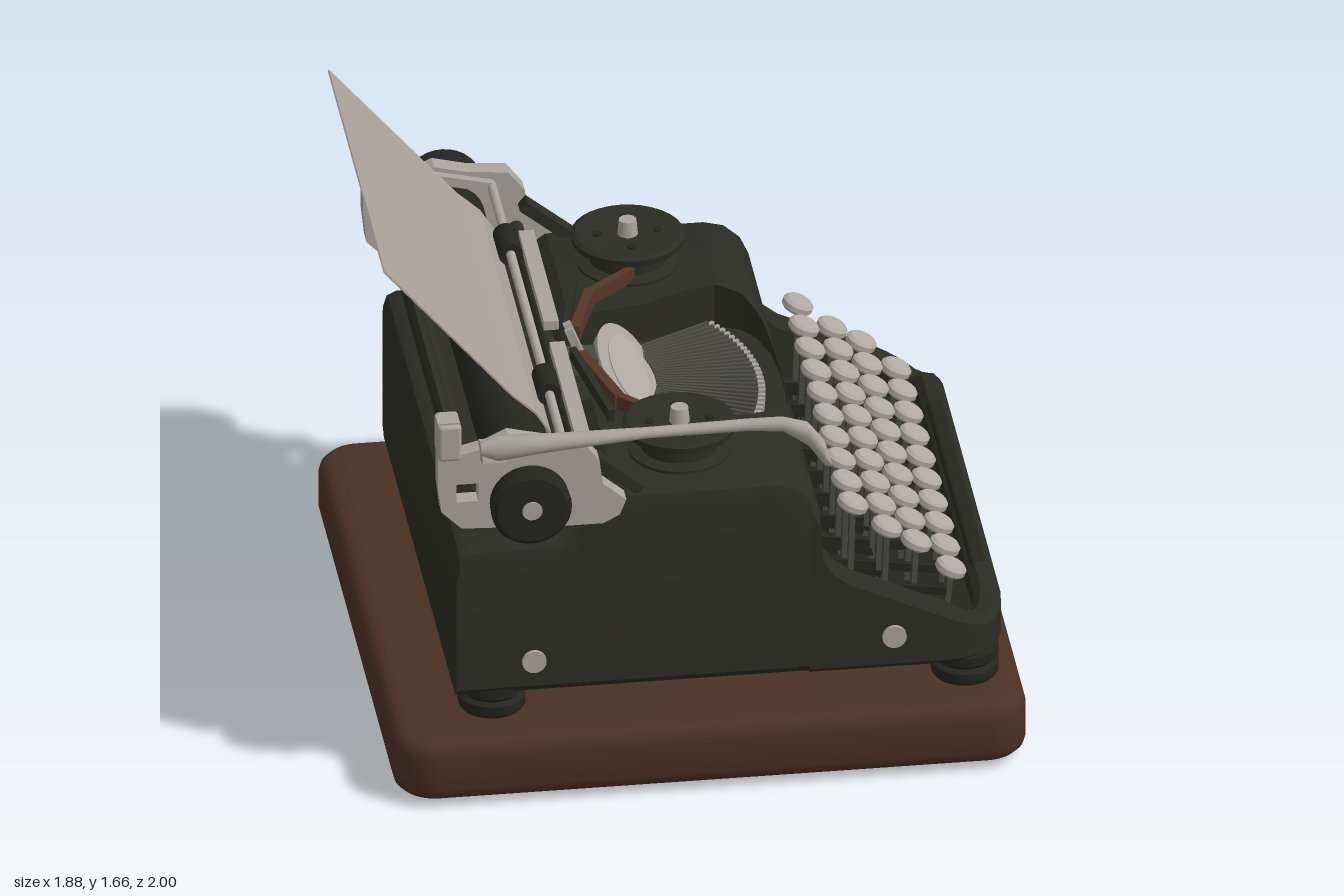
import * as THREE from 'three';
import { toCreasedNormals } from 'three/addons/utils/BufferGeometryUtils.js';
import { RoundedBoxGeometry } from 'three/addons/geometries/RoundedBoxGeometry.js';

const mat = (name, color) => Object.assign(new THREE.MeshStandardMaterial({ color }), { name });

// Linear lookup in a table of [x, value] pairs
function lookup(table, x) {
  for (let i = 1; i < table.length; i++) {
    const [x0, v0] = table[i - 1], [x1, v1] = table[i];
    if (x <= x1) return v0 + (v1 - v0) * Math.max(0, (x - x0) / (x1 - x0));
  }
  return table[table.length - 1][1];
}

// Skin through closed cross-sections; rings run anticlockwise seen from the advancing end
function loft(sections, crease = 0.6) {
  const n = sections[0].length, index = [];
  sections.slice(1).forEach((_, i) => {
    for (let j = 0; j < n; j++) {
      const a = i * n + j, b = i * n + (j + 1) % n;
      index.push(a, b, a + n, b, b + n, a + n);
    }
  });
  const last = (sections.length - 1) * n;
  for (let j = 1; j < n - 1; j++) index.push(0, j + 1, j, last, last + j, last + j + 1);
  const g = new THREE.BufferGeometry();
  g.setAttribute('position', new THREE.Float32BufferAttribute(sections.flat(2), 3));
  g.setIndex(index);
  return toCreasedNormals(g.toNonIndexed(), crease);
}

// Outline in x and y, extruded along z about its middle
function slab(pts, depth, z = 0, hole) {
  const shape = new THREE.Shape(pts.map(p => new THREE.Vector2(...p)));
  if (hole) shape.holes.push(new THREE.Path(hole.map(p => new THREE.Vector2(...p))));
  return new THREE.ExtrudeGeometry(shape, { depth, bevelEnabled: false }).translate(0, 0, z - depth / 2);
}

export function createModel() {
  const dark = mat('darkEnamel', 0x2b2c23), black = mat('blackRubber', 0x24251e);
  const wood = mat('brownWood', 0x4b3025), ribbonRed = mat('ribbonBrown', 0x563529);
  const metal = mat('lightMetal', 0xaaa39d), paperMat = mat('paper', 0xa89f97);
  const steel = mat('darkSteel', 0x4b4a44), keyMat = mat('keyCap', 0xb0a9a3);

  const machine = new THREE.Group();
  machine.name = 'typewriter';
  machine.position.z = -0.025;
  const add = (name, geo, m, x = 0, y = 0, z = 0) => {
    const mesh = new THREE.Mesh(geo, m);
    mesh.name = name;
    mesh.position.set(x, y, z);
    machine.add(mesh);
    return mesh;
  };
  // Straight bar from a to b
  const bar = (name, m, a, b, w, h) => {
    const A = new THREE.Vector3(...a), B = new THREE.Vector3(...b);
    const mesh = new THREE.Mesh(new THREE.BoxGeometry(w, h, A.distanceTo(B)), m);
    mesh.name = name;
    mesh.position.copy(A).lerp(B, 0.5);
    mesh.lookAt(B);
    machine.add(mesh);
  };
  const disc = (r0, r1, h, seg = 32) => new THREE.CylinderGeometry(r0, r1, h, seg);
  const rod = (r, len) => disc(r, r, len, 24).rotateX(Math.PI / 2);
  const lathe = pts => toCreasedNormals(
    new THREE.LatheGeometry(pts.map(p => new THREE.Vector2(...p)), 32).toNonIndexed(), 0.6);

  // Wooden board with rounded corners and eased edges
  const plan = new THREE.Shape(), bx = 0.895, bz = 0.87, r = 0.08;
  plan.absarc(bx - r, bz - r, r, 0, Math.PI / 2);
  plan.absarc(r - bx, bz - r, r, Math.PI / 2, Math.PI);
  plan.absarc(r - bx, r - bz, r, Math.PI, Math.PI * 1.5);
  plan.absarc(bx - r, r - bz, r, Math.PI * 1.5, Math.PI * 2);
  const board = new THREE.ExtrudeGeometry(plan, {
    depth: 0.105, bevelThickness: 0.045, bevelSize: 0.045, bevelSegments: 3, curveSegments: 8 });
  add('board', toCreasedNormals(board.rotateX(-Math.PI / 2), 0.6), wood, 0, 0.065, 0);

  for (const s of [-1, 1]) for (const x of [-0.63, 0.775]) {
    add('boardFoot', disc(0.05, 0.05, 0.03), black, x < 0 ? -0.77 : 0.77, 0.015, s * 0.76);
    add('bodyFoot', lathe([[0, 0], [0.09, 0], [0.1, 0.015], [0.1, 0.045], [0.085, 0.055],
      [0.1, 0.07], [0.1, 0.1], [0, 0.1]]), black, x, 0.21, s * 0.68);
  }

  // Main body, with an open type basket in the hood
  const W = 0.795;
  const top = [[-0.75, 0.75], [-0.74, 0.785], [-0.71, 0.8], [-0.45, 0.8], [-0.39, 0.82], [-0.34, 0.87],
    [-0.31, 0.93], [-0.27, 0.96], [0.2, 0.96], [0.26, 0.945], [0.305, 0.905], [0.33, 0.85], [0.338, 0.78], [0.345, 0.5]];
  const opening = [[-0.31, 0], [-0.3, 0.2], [-0.22, 0.27], [-0.05, 0.3], [0.1, 0.37], [0.18, 0.385],
    [0.25, 0.35], [0.29, 0.29], [0.32, 0.18], [0.335, 0]];
  const floor = [[-0.3, 0.9], [-0.28, 0.85], [0.2, 0.82], [0.335, 0.83]];
  const xs = [...new Set([...top, ...opening].map(p => p[0]))].sort((a, b) => a - b);
  add('body', loft(xs.map(x => {
    const t = lookup(top, x), w = x < -0.31 ? 0 : lookup(opening, x);
    const f = w > 0 ? Math.min(t, lookup(floor, x)) : t;
    const half = [[W - 0.03, 0.3], [W, 0.33], [W, t - 0.05], [W - 0.015, t - 0.015], [W - 0.05, t], [w, t], [w, f]];
    return [...half.map(([z, y]) => [x, y, -z]), ...half.reverse().map(([z, y]) => [x, y, z])];
  })), dark);

  // Wall sweeping round the keyboard
  const wallTop = [[0.3, 0.8], [0.33, 0.76], [0.345, 0.7], [0.37, 0.66], [0.42, 0.62], [0.84, 0.425], [0.87, 0.43], [0.89, 0.46]];
  const stations = [0.3, 0.33, 0.345, 0.37, 0.42, 0.56, 0.7].map(x => [x, -W, 0, -1]);
  for (let i = 0; i <= 8; i++) {
    const a = i / 8 * Math.PI / 2, c = Math.cos(a), s = Math.sin(a);
    stations.push([0.71 + 0.18 * s, -0.615 - 0.18 * c, s, -c]);
  }
  stations.push(...stations.slice().reverse().map(([x, z, nx, nz]) => [x, -z, nx, -nz]));
  add('keyboardWall', loft(stations.map(([x, z, nx, nz]) => {
    const h = lookup(wallTop, x);
    return [[0.02, 0.3], [0, 0.32], [0, h - 0.025], [0.02, h], [0.06, h], [0.08, h - 0.02], [0.08, 0.3]]
      .map(([d, y]) => [x - nx * d, y, z - nz * d]);
  })), dark);
  add('keyboardFloor', new THREE.BoxGeometry(0.52, 0.07, 1.46), black, 0.58, 0.34, 0);
  add('spaceBar', new RoundedBoxGeometry(0.05, 0.035, 0.96, 3, 0.015), black, 0.845, 0.45, 0);

  // Four rows of tilted keys, each with a stem and a lever
  const cap = lathe([[0, -0.016], [0.04, -0.016], [0.047, -0.008], [0.047, 0.008], [0.038, 0.017], [0, 0.02]]);
  [[0.455, 0.755, 0], [0.555, 0.675, 0.012], [0.645, 0.605, -0.012], [0.745, 0.52, 0.01]].forEach(([x, y, shift]) => {
    for (let i = 0; i < 10; i++) {
      const z = (i - 4.5) * 0.131 + shift;
      add('key', cap, keyMat, x, y, z).rotation.z = -0.4;
      bar('keyStem', steel, [x, y - 0.015, z], [x - 0.01, 0.4, z], 0.016, 0.016);
      bar('keyLever', black, [x, 0.44, z], [0.34, 0.5, z], 0.016, 0.025);
    }
  });

  // Type bars fanned across the basket
  for (let i = 0; i < 29; i++) {
    const a = (i / 14 - 1) * 0.58, c = Math.cos(a), s = Math.sin(a);
    const at = (d, y) => [-0.35 + d * c, y, d * s];
    bar('typeBar', steel, at(0.3, 0.875), at(0.6, 0.855), 0.009, 0.03);
    bar('typeSlug', metal, at(0.6, 0.85), at(0.622, 0.85), 0.011, 0.025);
  }
  const segment = add('typeSegment', disc(1, 1, 1, 48).scale(0.095, 0.03, 0.268), metal, -0.135, 0.905, 0);
  segment.rotation.z = -0.45;
  const rim = add('segmentSlot', disc(1, 1, 1, 48).scale(0.06, 0.006, 0.2), keyMat, -0.128, 0.919, 0);
  rim.rotation.z = -0.45;

  // Type guide
  for (const s of [-1, 1]) bar('typeGuide', metal, [-0.24, 0.9, s * 0.025], [-0.31, 1.08, s * 0.018], 0.018, 0.025);
  add('guideBase', new THREE.BoxGeometry(0.11, 0.05, 0.09), steel, -0.28, 0.96, 0);

  // Carriage: platen, rails, paper table, bail and rollers
  add('platen', rod(0.1, 1.56), black, -0.55, 1.03, 0);
  add('carriageRail', new RoundedBoxGeometry(0.36, 0.07, 1.54, 2, 0.02), dark, -0.54, 0.915, 0);
  add('paperTable', slab([[-0.6, 0.91], [-0.69, 0.96], [-0.755, 1.21], [-0.775, 1.22], [-0.785, 1.2], [-0.73, 0.92], [-0.68, 0.89]], 1.5), dark);
  add('frontRail', rod(0.022, 1.5), dark, -0.36, 0.99, 0);
  add('bailRod', rod(0.014, 1.56), metal, -0.43, 1.13, 0);
  add('paper', slab([[-0.94, 1.655], [-0.56, 1.205], [-0.49, 1.14], [-0.447, 1.07], [-0.445, 1.0],
    [-0.44, 1.0], [-0.442, 1.072], [-0.486, 1.144], [-0.556, 1.209], [-0.936, 1.658]], 1.2), paperMat);

  const frame = [[-0.81, 1.26], [-0.745, 1.26], [-0.74, 1.15], [-0.66, 1.17], [-0.6, 1.2], [-0.5, 1.175], [-0.38, 1.165],
    [-0.33, 1.1], [-0.32, 1.02], [-0.25, 0.96], [-0.27, 0.91], [-0.32, 0.885], [-0.43, 0.885], [-0.53, 0.91], [-0.63, 0.895],
    [-0.74, 0.9], [-0.8, 0.96], [-0.81, 1.05]];
  const slot = [[-0.755, 0.99], [-0.69, 0.99], [-0.69, 1.05], [-0.755, 1.05]];
  const knob = lathe([[0, 0], [0.1, 0], [0.118, 0.012], [0.12, 0.06], [0.105, 0.075], [0, 0.075]]).rotateX(Math.PI / 2);
  for (const s of [-1, 1]) {
    add('carriageEnd', slab(frame, 0.055, s * 0.8, slot), metal);
    add('carriageEndBlock', new RoundedBoxGeometry(0.07, 0.12, 0.1, 2, 0.012), metal, -0.775, 1.195, s * 0.79);
    add('platenHub', rod(0.045, 0.16), metal, -0.55, 1.03, s * 0.85);
    add('platenKnob', knob, black, -0.55, 1.03, s * 0.937 - 0.0375);
    add('knobCap', rod(0.03, 0.01), metal, -0.55, 1.03, s * 0.974);
    bar('carriageArm', dark, [-0.34, 1.07, s * 0.75], [-0.2, 0.955, s * 0.75], 0.05, 0.035);
    bar('bailArm', metal, [-0.43, 1.13, s * 0.76], [-0.6, 1.17, s * 0.76], 0.025, 0.03);
    add('bailRoller', rod(0.036, 0.125), black, -0.43, 1.13, s * 0.415);
    bar('paperScale', metal, [-0.35, 1.05, s * 0.06], [-0.35, 1.05, s * 0.6], 0.045, 0.03);

    // Ribbon spools and ribbon
    add('spoolCup', lathe([[0, 0], [0.15, 0], [0.15, 0.012], [0.115, 0.02], [0.115, 0.075], [0.165, 0.08],
      [0.168, 0.1], [0.155, 0.108], [0.06, 0.1], [0, 0.1]]), dark, -0.055, 0.957, s * 0.555);
    add('spoolHub', disc(0.026, 0.032, 0.06, 16), metal, -0.055, 1.075, s * 0.555);
    for (let i = 0; i < 4; i++) {
      const a = i * Math.PI / 2;
      add('spoolHole', disc(0.014, 0.014, 0.006, 12), black,
        -0.055 + 0.09 * Math.cos(a), 1.062, s * 0.555 + 0.09 * Math.sin(a));
    }
    bar('ribbon', ribbonRed, [-0.06, 0.985, s * 0.44], [-0.2, 0.995, s * 0.31], 0.025, 0.045);
    bar('ribbon', ribbonRed, [-0.2, 0.995, s * 0.315], [-0.28, 1.01, s * 0.07], 0.03, 0.05);
    bar('ribbonCover', dark, [-0.235, 1.0, s * 0.4], [-0.305, 1.03, s * 0.07], 0.02, 0.04);

    // Side bolts
    for (const x of [-0.52, 0.55]) add('sideBolt', rod(0.036, 0.02), metal, x, 0.415, s * 0.796);
  }

  // Carriage return lever
  const lever = [[-0.69, 1.19, 0.87, 0.02, 0.02], [-0.64, 1.19, 0.87, 0.04, 0.035], [-0.5, 1.205, 0.885, 0.028, 0.03],
    [-0.2, 1.222, 0.895, 0.016, 0.02], [0.1, 1.237, 0.915, 0.018, 0.02], [0.2, 1.243, 0.935, 0.022, 0.024],
    [0.27, 1.222, 0.965, 0.038, 0.03], [0.315, 1.17, 0.99, 0.042, 0.03], [0.333, 1.14, 0.995, 0.015, 0.02]];
  add('returnLever', loft(lever.map(([x, y, z, ry, rz]) => Array.from({ length: 12 }, (_, i) => {
    const a = i / 12 * Math.PI * 2;
    return [x, y + ry * Math.sin(a), z - rz * Math.cos(a)];
  })), 1.1), metal);
  bar('leverPivot', metal, [-0.65, 1.15, 0.8], [-0.65, 1.18, 0.88], 0.07, 0.06);

  const root = new THREE.Group();
  root.name = 'typewriterOnBoard';
  root.add(machine);
  return root;
}
